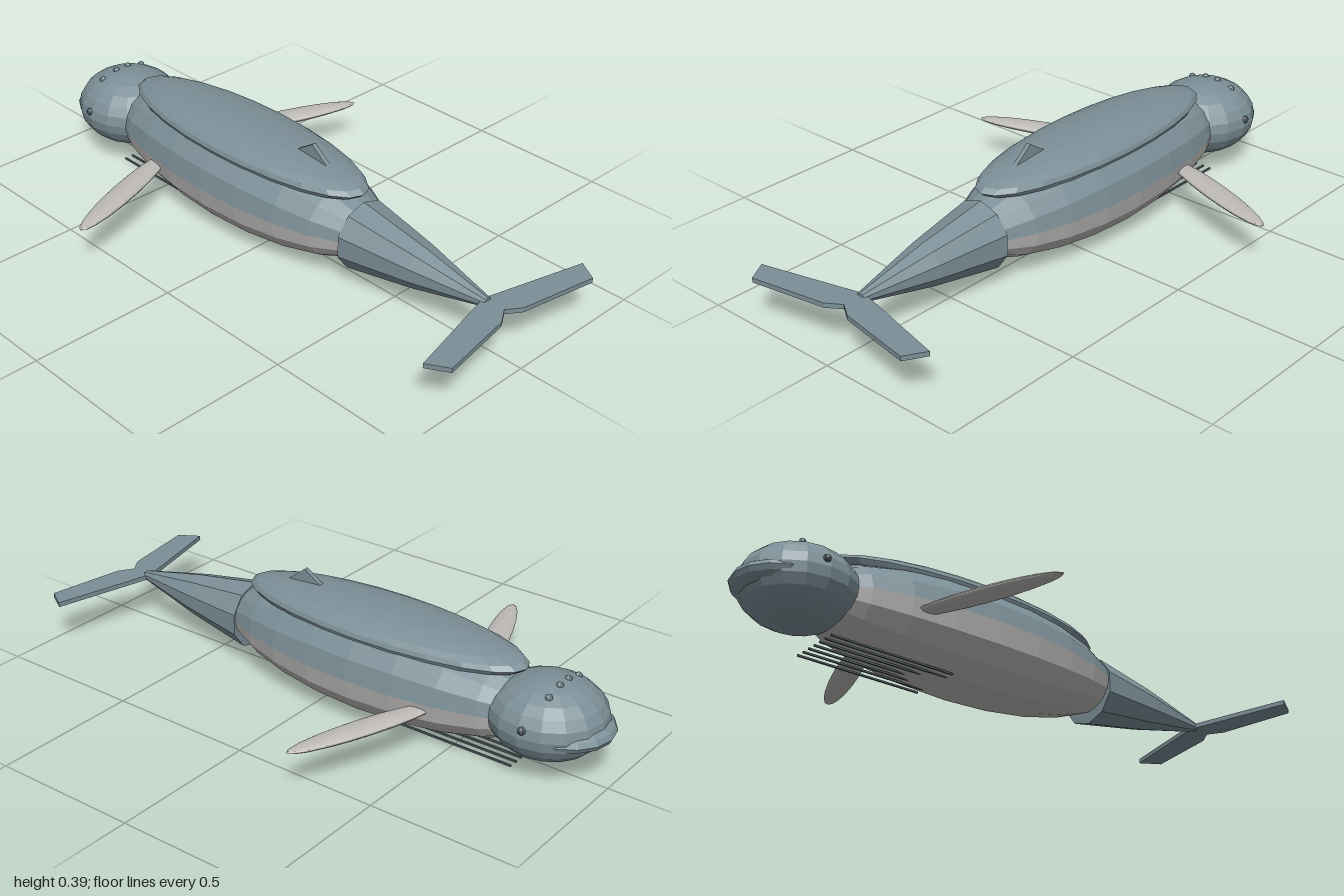
import * as THREE from 'three';

const mat = (name, color, flatShading = true) => {
  const m = new THREE.MeshStandardMaterial({ color, flatShading });
  m.name = name;
  return m;
};

export function createModel() {
  const whale = new THREE.Group();
  whale.name = 'whale';
  const skin = mat('blueGreySkin', 0x7c8f97);
  const pale = mat('paleGrey', 0xbdbab7);
  const dark = mat('darkGrey', 0x525e63);

  const add = (name, geometry, material, x = 0, y = 0, z = 0) => {
    const mesh = new THREE.Mesh(geometry, material);
    mesh.name = name;
    mesh.position.set(x, y, z);
    whale.add(mesh);
    return mesh;
  };
  // Ellipsoid with its poles along z; phi 0..PI is the lower half
  const ellipsoid = (rx, ry, rz, around = 16, along = 12, start = 0, sweep = Math.PI * 2) =>
    new THREE.SphereGeometry(1, around, along, start, sweep).rotateX(Math.PI / 2).scale(rx, ry, rz);
  const outline = (points) => new THREE.Shape(points.map(([x, y]) => new THREE.Vector2(x, y)));

  // Body in two colours, with a raised back plate
  add('upperBody', ellipsoid(0.21, 0.178, 0.62, 8, 12, Math.PI, Math.PI), skin, 0, 0.18, -0.18);
  add('belly', ellipsoid(0.21, 0.178, 0.62, 8, 12, 0, Math.PI), pale, 0, 0.18, -0.18);
  add('backPlate', new THREE.SphereGeometry(1, 24, 12).scale(0.16, 0.057, 0.53), skin, 0, 0.305, -0.175);

  // Head, protruding lip, eyes and bumps
  add('head', new THREE.SphereGeometry(1, 16, 12).scale(0.18, 0.128, 0.19), skin, 0, 0.182, -0.785);
  add('lip', new THREE.SphereGeometry(1, 16, 10).scale(0.155, 0.052, 0.17), skin, 0, 0.168, -0.83);
  for (const s of [1, -1]) {
    const side = s > 0 ? 'left' : 'right';
    add(side + 'Eye', new THREE.SphereGeometry(0.013, 8, 6), dark, s * 0.174, 0.207, -0.797);
    for (const [x, y] of [[0.085, 0.288], [0.025, 0.303]]) {
      add(side + 'HeadBump', new THREE.SphereGeometry(0.012, 8, 6), skin, s * x, y, -0.83);
    }
    // Long, flat flippers swept backwards
    const flipper = add(side + 'Flipper', new THREE.SphereGeometry(1, 20, 12).scale(0.27, 0.016, 0.043),
      pale, s * 0.36, 0.152, -0.372);
    flipper.rotation.y = -s * 0.35;
  }

  // Tapering tail, closed at both ends
  const tailProfile = [[0, 0], [0.116, 0], [0.073, 0.25], [0.016, 0.505], [0, 0.505]]
    .map(([r, h]) => new THREE.Vector2(r, h));
  add('tail', new THREE.LatheGeometry(tailProfile, 10).rotateX(Math.PI / 2), skin, 0, 0.165, 0.355);

  // Tail flukes: half outline mirrored across x = 0
  const half = [[0.357, 0.93], [0.315, 1], [0.05, 0.955]];
  const fluke = outline([[0, 0.842], ...half, [0, 0.922],
    ...half.slice().reverse().map(([x, z]) => [-x, z])]);
  add('tailFlukes', new THREE.ExtrudeGeometry(fluke, { depth: 0.016, bevelEnabled: false })
    .rotateX(Math.PI / 2), skin, 0, 0.171, 0);

  // Small triangular dorsal fin
  const fin = outline([[0.225, 0.325], [0.135, 0.396], [0.05, 0.34]]);
  add('dorsalFin', new THREE.ExtrudeGeometry(fin, { depth: 0.016, bevelEnabled: false })
    .rotateY(-Math.PI / 2), skin, 0.008, 0, 0);

  // Thin throat pleats under the chin
  for (let i = -3; i <= 3; i++) {
    add('throatPleat', new THREE.BoxGeometry(0.006, 0.006, 0.44), dark, i * 0.03, 0.018, -0.5);
  }
  return whale;
}
